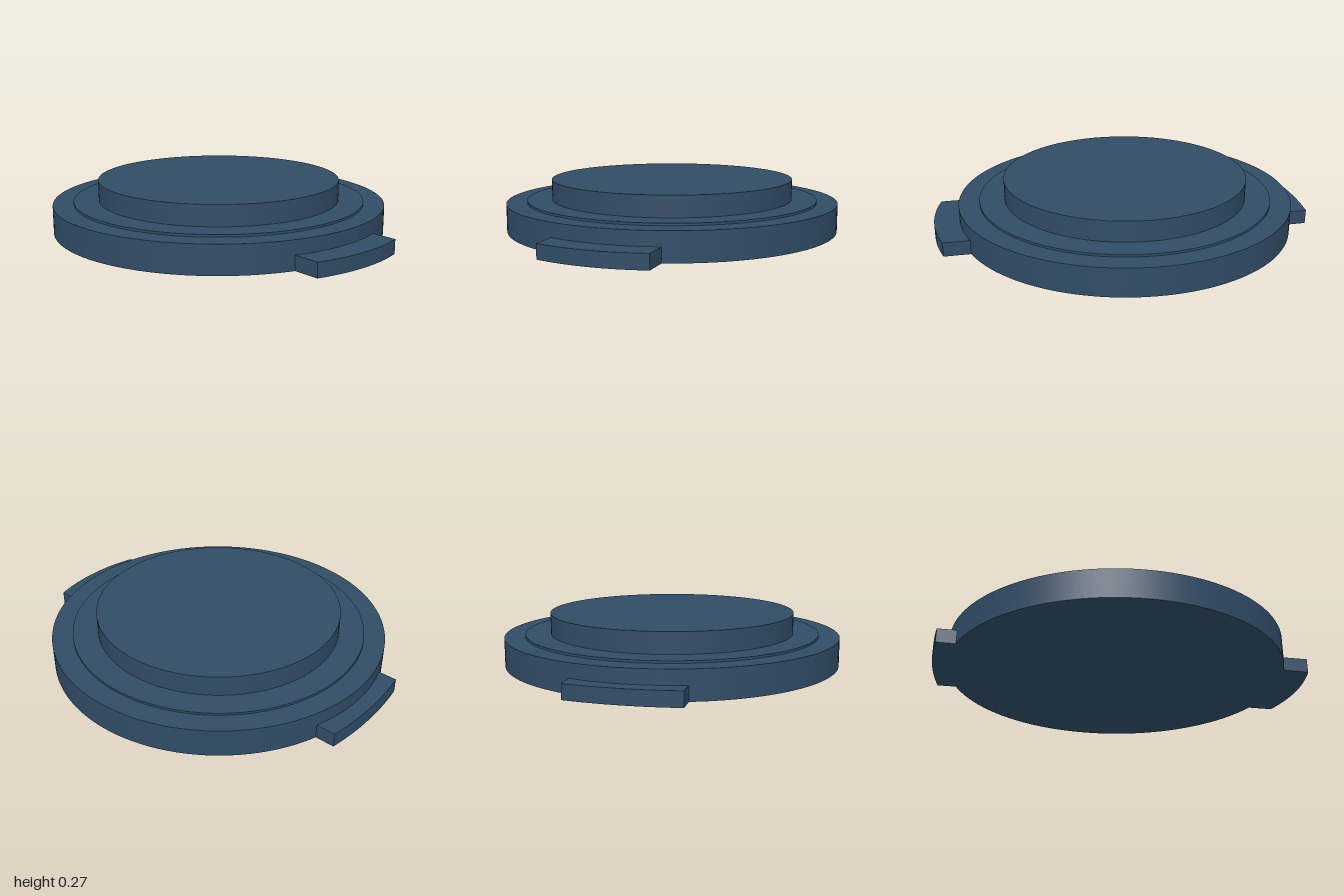
import * as THREE from 'three';

const CENTRE_Z = -0.027; // the round body sits slightly behind the middle
const BASE_R = 0.895;
const TAB_HALF = 0.277;
const TAB_H = 0.075;

// Tab outline: inner edge follows the disc, outer edge is a shallow arc
function tabGeometry(discZ, tipZ, cornerZ) {
  const steps = 16;
  const sag = tipZ - cornerZ;
  const outerR = (TAB_HALF ** 2 + sag ** 2) / (2 * sag);
  const arc = (x, r, c) => c + Math.sqrt(r * r - x * x);
  const points = [];
  for (let i = 0; i <= steps; i++) {
    const x = TAB_HALF * (1 - (2 * i) / steps);
    points.push(new THREE.Vector2(x, arc(x, outerR, tipZ - outerR)));
  }
  for (let i = 0; i <= steps; i++) {
    const x = TAB_HALF * ((2 * i) / steps - 1);
    points.push(new THREE.Vector2(x, arc(x, BASE_R - 0.005, discZ)));
  }
  const geometry = new THREE.ExtrudeGeometry(new THREE.Shape(points), { depth: TAB_H, bevelEnabled: false });
  return geometry.rotateX(Math.PI / 2).translate(0, TAB_H, 0);
}

export function createModel() {
  const group = new THREE.Group();
  const slateBlue = new THREE.MeshStandardMaterial({ color: 0x304c66 });
  slateBlue.name = 'slateBlue';

  const add = (name, geometry) => {
    const mesh = new THREE.Mesh(geometry, slateBlue);
    mesh.name = name;
    group.add(mesh);
    return mesh;
  };

  // Stepped round body: each disc stands on the one below
  const disc = (name, radius, bottom, top) => {
    const geometry = new THREE.CylinderGeometry(radius, radius, top - bottom, 128);
    add(name, geometry).position.set(0, (bottom + top) / 2, CENTRE_Z);
  };
  disc('baseDisc', BASE_R, 0, 0.148);
  disc('raisedStep', 0.785, 0.148, 0.16);
  disc('topDisc', 0.652, 0.16, 0.268);

  // Grip tabs at front and back
  add('frontTab', tabGeometry(CENTRE_Z, 1.0, 0.96));
  add('backTab', tabGeometry(-CENTRE_Z, 1.0, 0.977)).rotation.y = Math.PI;

  return group;
}
